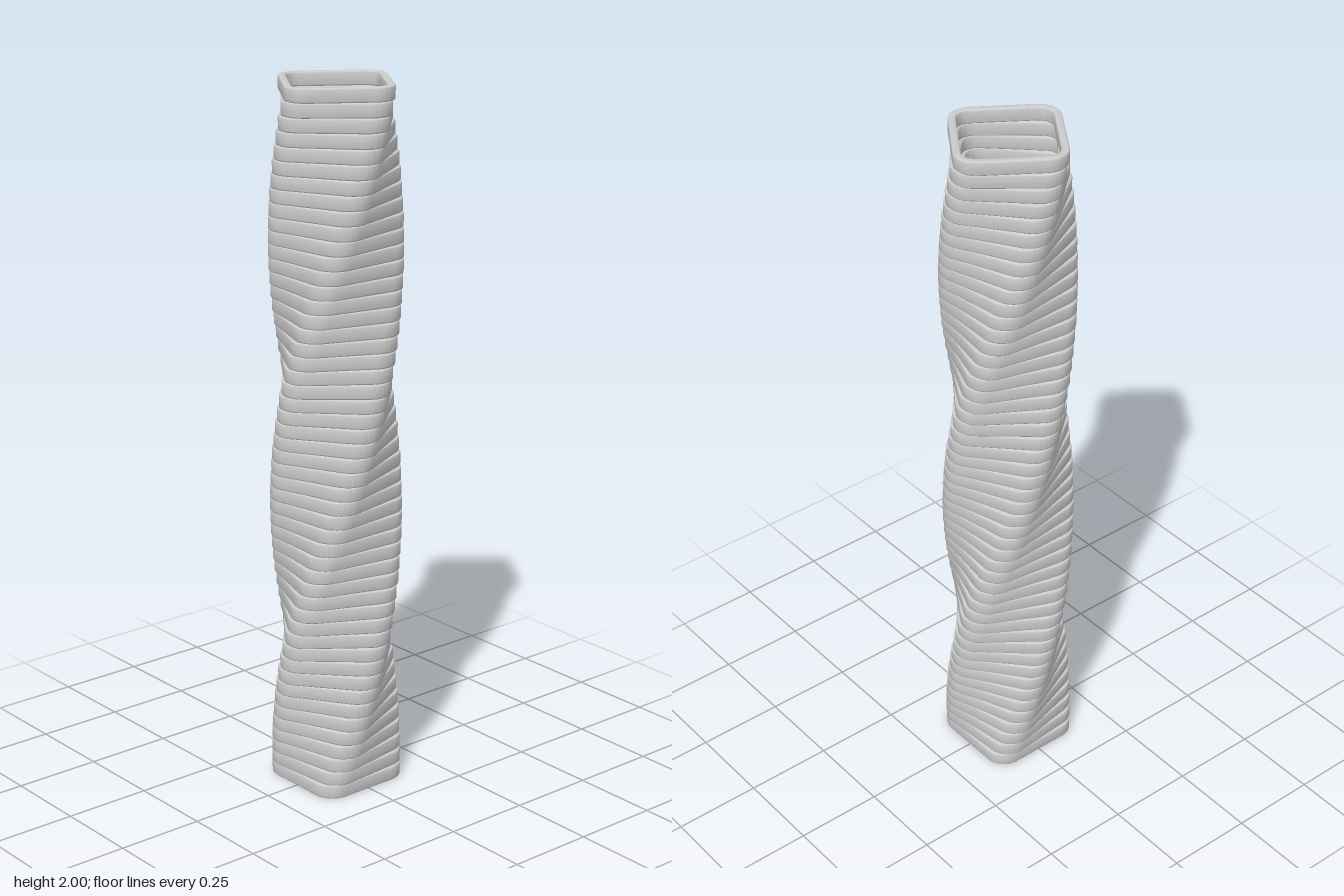
import * as THREE from 'three';
import { toCreasedNormals } from 'three/addons/utils/BufferGeometryUtils.js';

const LAYERS = 50;
const PITCH = 2 / LAYERS;
const TWIST = THREE.MathUtils.degToRad(236); // turn from the lowest to the highest frame
const HALF = 0.147;   // half the outer side
const CORNER = 0.06;  // outer corner radius
const WALL = 0.021;
const BEVEL = 0.004;

// Adds a rounded square outline to a path
function roundedSquare(path, h, r) {
  const c = h - r;
  path.moveTo(h, -c);
  path.absarc(c, c, r, 0, Math.PI / 2);
  path.absarc(-c, c, r, Math.PI / 2, Math.PI);
  path.absarc(-c, -c, r, Math.PI, Math.PI * 1.5);
  path.absarc(c, -c, r, Math.PI * 1.5, Math.PI * 2);
  return path;
}

// One square ring with softened edges, lying flat on y = 0
function frameGeometry() {
  const shape = roundedSquare(new THREE.Shape(), HALF, CORNER);
  shape.holes.push(roundedSquare(new THREE.Path(), HALF - WALL, CORNER - WALL));
  const geometry = new THREE.ExtrudeGeometry(shape, {
    depth: PITCH - 2 * BEVEL,
    bevelThickness: BEVEL,
    bevelSize: BEVEL,
    bevelOffset: -BEVEL,
    bevelSegments: 3,
    curveSegments: 8,
  });
  geometry.translate(0, 0, BEVEL);
  geometry.rotateX(-Math.PI / 2);
  return toCreasedNormals(geometry, 0.6);
}

export function createModel() {
  const model = new THREE.Group();
  model.name = 'twistedColumn';
  const material = new THREE.MeshStandardMaterial({ color: 0xcccccc });
  const geometry = frameGeometry();

  // Stack of frames, each turned a little further than the one below
  for (let i = 0; i < LAYERS; i++) {
    const frame = new THREE.Mesh(geometry, material);
    frame.name = `frame${i + 1}`;
    frame.position.y = i * PITCH;
    frame.rotation.y = (TWIST * i) / (LAYERS - 1);
    model.add(frame);
  }
  return model;
}
